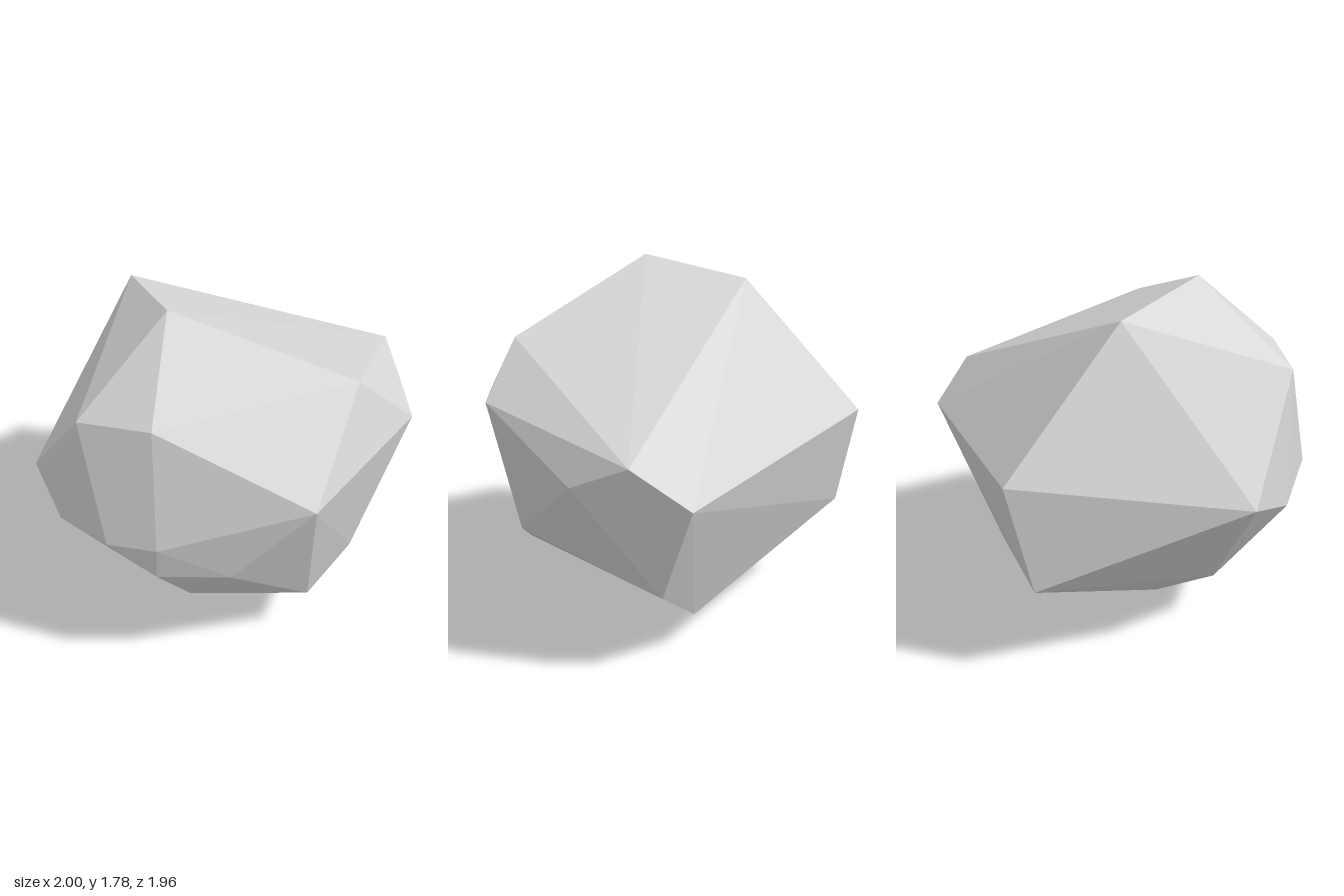
import * as THREE from 'three';
import { ConvexGeometry } from 'three/addons/geometries/ConvexGeometry.js';

// Corners of the boulder, grouped by region: [x, y, z]
const crown = [
  [-0.39, 1.78, 0.20], [-0.36, 1.68, -0.35], [0.34, 1.48, 0.67],
  [-0.62, 1.42, 0.55], [-0.88, 1.39, 0.30], [0.62, 1.23, 0.72],
];
const girdle = [
  [1.0, 1.12, -0.08], [0.96, 0.93, -0.35], [0.94, 0.98, 0.21],
  [-0.03, 1.08, 0.98], [-0.22, 1.05, -0.98], [-1.0, 0.86, -0.15],
  [-0.98, 0.75, 0.17], [-0.86, 0.83, 0.52], [-0.68, 0.86, 0.69],
  [-0.68, 0.68, 0.67], [-0.37, 0.68, 0.82],
];
const base = [
  [-0.30, 0.50, -0.89], [0.85, 0.43, -0.19], [0.37, 0.46, 0.68],
  [0.10, 0.28, 0.74], [0.56, 0.19, -0.28], [-0.64, 0.25, 0.08],
  [-0.37, 0.06, 0.30], [-0.28, 0.01, 0.07], [-0.16, 0, 0.24],
];

export function createModel() {
  const stone = new THREE.MeshStandardMaterial({ color: 0xd4d4d4 });
  stone.name = 'pale stone grey';

  // Faceted stone wrapped around the corners
  const points = [...crown, ...girdle, ...base].map((p) => new THREE.Vector3(...p));
  const boulder = new THREE.Mesh(new ConvexGeometry(points), stone);
  boulder.name = 'boulder';

  const group = new THREE.Group();
  group.name = 'rock';
  group.add(boulder);
  return group;
}
